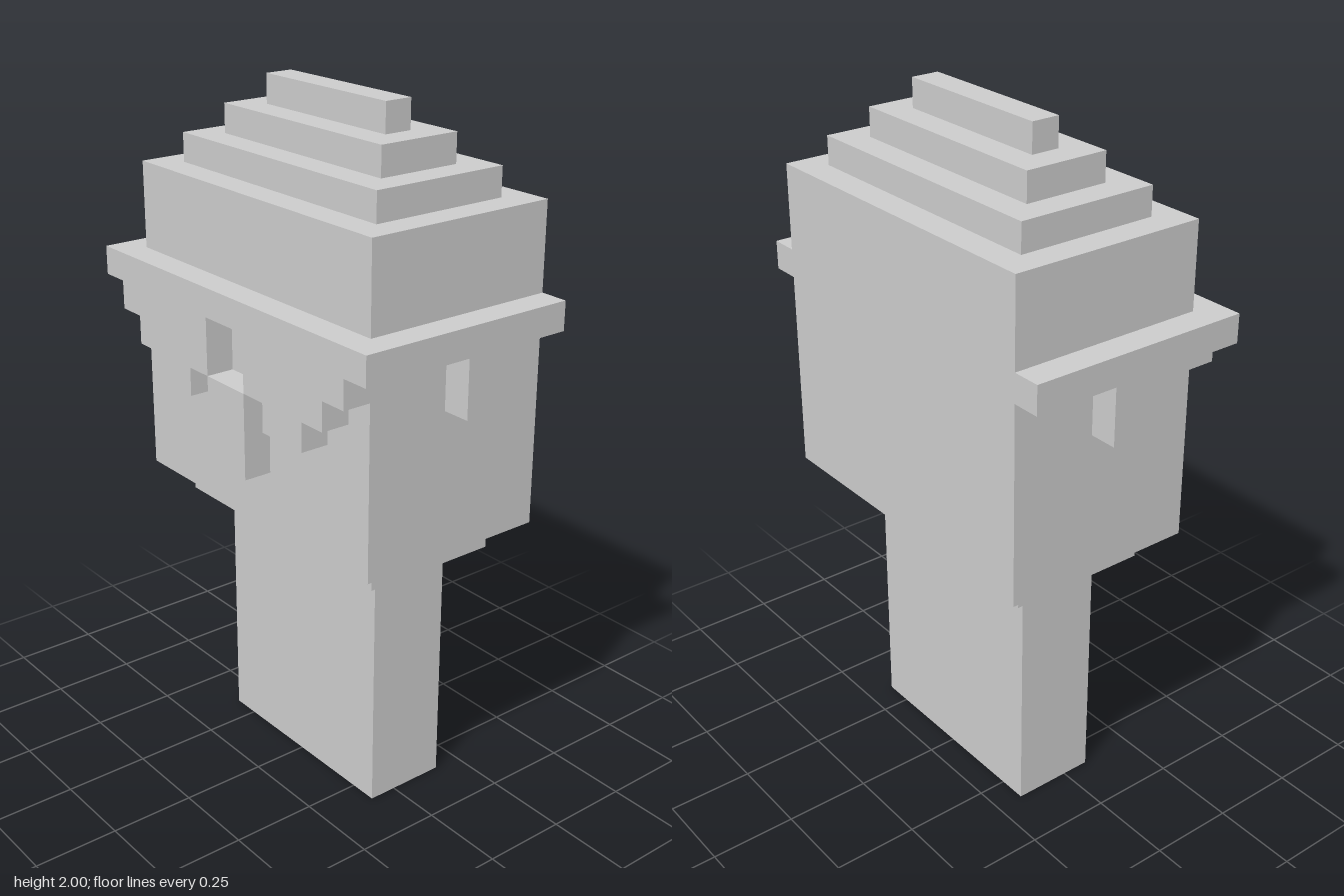
import * as THREE from 'three';

const U = 1 / 12; // one block unit; all sizes below are in units

export function createModel() {
  const model = new THREE.Group();
  model.name = 'blockyHead';
  const material = new THREE.MeshStandardMaterial({ color: 0xcccccc, flatShading: true });

  const add = (name, geometry) => {
    geometry.scale(U, U, U);
    const mesh = new THREE.Mesh(geometry, material);
    mesh.name = name;
    model.add(mesh);
  };

  // Box given by its lower and upper corners
  const box = (name, x0, x1, y0, y1, z0, z1) => {
    const geometry = new THREE.BoxGeometry(x1 - x0, y1 - y0, z1 - z0);
    geometry.translate((x0 + x1) / 2, (y0 + y1) / 2, (z0 + z1) / 2);
    add(name, geometry);
  };

  // Left-right symmetric outline: the +x half, followed by its mirror image
  const mirroredShape = (half) => {
    const other = half.map(([x, y]) => [-x, y]).reverse();
    return new THREE.Shape([...half, ...other].map(([x, y]) => new THREE.Vector2(x, y)));
  };

  // Body, jaw, skull and stepped crown
  box('body', -4, 4, 0, 9, -2, 1);
  box('jaw', -5, 5, 9, 10, -3, 2);
  box('skull', -6, 6, 10, 21, -4, 3);
  for (let i = 0; i < 3; i++) {
    box(`crownStep${i + 1}`, i - 5, 5 - i, 21 + i, 22 + i, i - 3, 2 - i);
  }

  // U-shaped brim around the front and sides, open at the back
  const brim = new THREE.ExtrudeGeometry(
    mirroredShape([[6, -3], [6, 4], [7, 4], [7, -4]]),
    { depth: 1, bevelEnabled: false });
  brim.rotateX(-Math.PI / 2).translate(0, 17, 0);
  add('brim', brim);

  // Stepped fringe under the front brim, notched above the nose
  const fringe = new THREE.ExtrudeGeometry(
    mirroredShape([[1, 17], [1, 15], [2, 15], [2, 14], [4, 14], [4, 15], [5, 15], [5, 16], [6, 16], [6, 17]].reverse()
      .concat([[1, 17.001]])),
    { depth: 1, bevelEnabled: false });
  fringe.dispose();
  const lock = [[1, 17], [1, 15], [2, 15], [2, 14], [4, 14], [4, 15], [5, 15], [5, 16], [6, 16], [6, 17]];
  for (const side of [-1, 1]) {
    const shape = new THREE.Shape(lock.map(([x, y]) => new THREE.Vector2(side * x, y)));
    const geometry = new THREE.ExtrudeGeometry(shape, { depth: 1, bevelEnabled: false });
    geometry.translate(0, 0, 3);
    const label = side > 0 ? 'left' : 'right';
    add(`${label}Fringe`, geometry);

    // Short lock hanging from the side brim
    box(`${label}SideLock`, side > 0 ? 6 : -7, side > 0 ? 7 : -6, 15, 17, -1, 0);
  }

  // Nose
  box('nose', -1, 1, 12, 15, 3, 4);

  return model;
}
